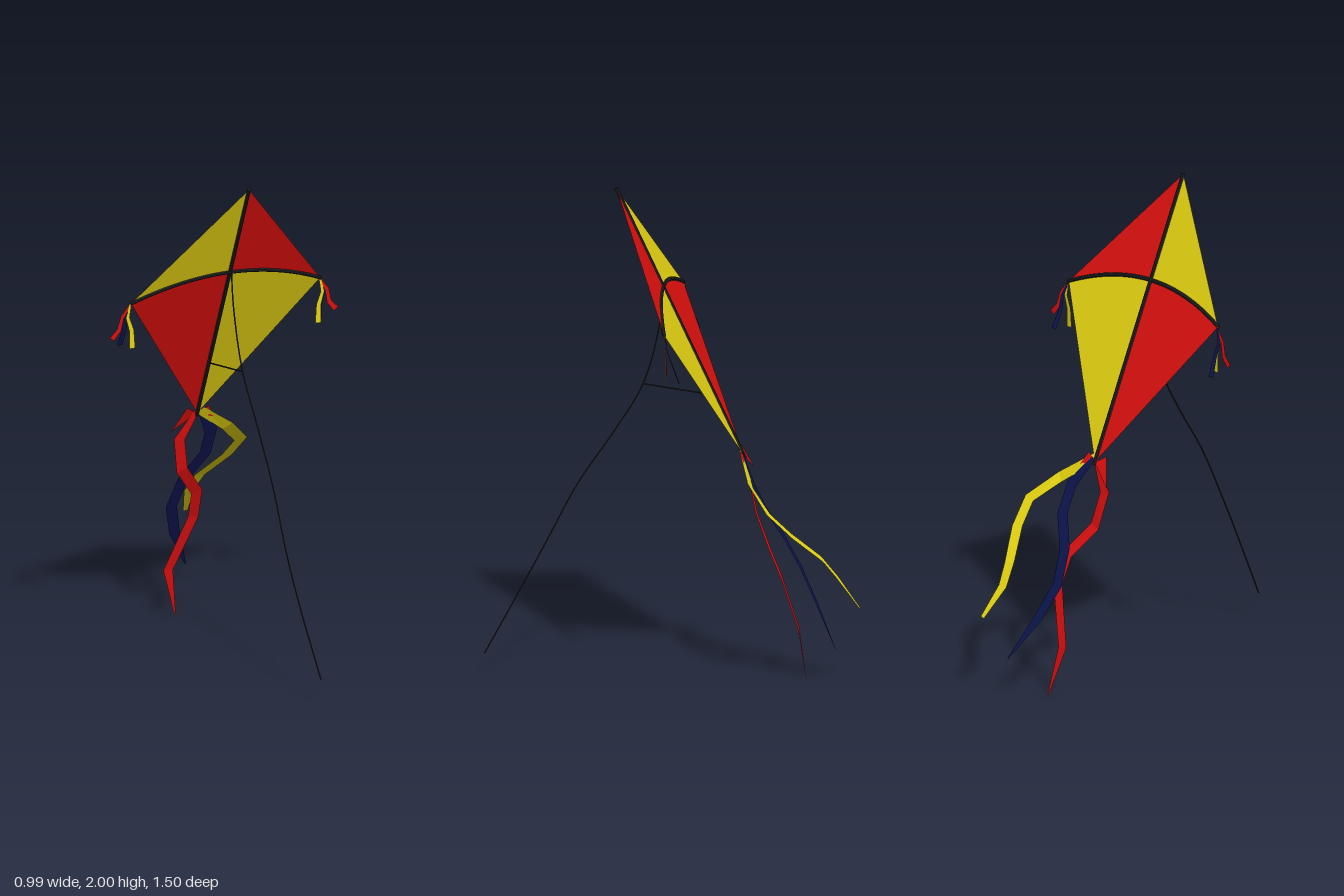
import * as THREE from 'three';

const mat = (color) => new THREE.MeshStandardMaterial({ color, side: THREE.DoubleSide, flatShading: true });
const RED = mat(0xe01010), YELLOW = mat(0xe6d412), NAVY = mat(0x0d1550), BLACK = mat(0x222222);
const V = (p) => new THREE.Vector3(...p);

function add(parent, name, geometry, material) {
  const mesh = new THREE.Mesh(geometry, material);
  mesh.name = name;
  parent.add(mesh);
  return mesh;
}

// Flat strip along a centre line; its width lies across the path, level front to back
function ribbon(points, widths) {
  const pts = points.map(V), pos = [], index = [];
  pts.forEach((p, i) => {
    const a = pts[Math.max(i - 1, 0)], b = pts[Math.min(i + 1, pts.length - 1)];
    const t = b.clone().sub(a).normalize();
    const h = Math.hypot(t.y, t.z);
    const side = new THREE.Vector3(h, -t.x * t.y / h, -t.x * t.z / h).multiplyScalar(widths[i] / 2);
    pos.push(...p.clone().sub(side).toArray(), ...p.clone().add(side).toArray());
    if (i) {
      const k = 2 * i;
      index.push(k - 2, k, k - 1, k - 1, k, k + 1);
    }
  });
  const g = new THREE.BufferGeometry();
  g.setAttribute('position', new THREE.Float32BufferAttribute(pos, 3));
  g.setIndex(index);
  g.computeVertexNormals();
  return g;
}

const flat = (corners) => new THREE.ShapeGeometry(new THREE.Shape(corners.map((c) => new THREE.Vector2(...c))));

export function createModel() {
  const kite = new THREE.Group();
  kite.name = 'kite';

  // Sail and frame are laid out flat, then leaned forward
  const sail = new THREE.Group();
  sail.name = 'sail';
  sail.position.y = 1.5;
  sail.rotation.x = Math.atan(0.468);
  kite.add(sail);

  // Four panels meeting along the bowed cross spar
  for (const s of [-1, 1]) {
    for (const [end, label] of [[0.55, 'upper'], [-0.645, 'lower']]) {
      const shape = new THREE.Shape();
      shape.moveTo(0, 0.11);
      shape.quadraticCurveTo(s * 0.205, 0.11, s * 0.41, 0.01);
      shape.lineTo(0, end);
      shape.closePath();
      const red = (s > 0) === (end > 0);
      add(sail, `${label}${s > 0 ? 'Left' : 'Right'}Panel`, new THREE.ShapeGeometry(shape, 16), red ? RED : YELLOW);
    }
  }

  // Frame
  const spine = add(sail, 'spine', new THREE.CylinderGeometry(0.008, 0.008, 1.21, 8), BLACK);
  spine.position.y = -0.053;
  const bow = new THREE.QuadraticBezierCurve3(V([-0.412, 0.01, 0]), V([0, 0.21, 0]), V([0.412, 0.01, 0]));
  add(sail, 'crossSpar', new THREE.TubeGeometry(bow, 24, 0.008, 8), BLACK);

  // Small bow knotted at the foot of the sail
  add(sail, 'footBowRight', flat([[0, -0.645], [-0.05, -0.61], [-0.098, -0.73]]), RED);
  add(sail, 'footBowLeft', flat([[0, -0.645], [0.045, -0.61], [0.075, -0.675]]), RED);

  // Tail ribbons
  add(kite, 'redTail', ribbon([
    [0, 0.93, -0.27], [-0.07, 0.81, -0.29], [-0.045, 0.67, -0.32], [0.045, 0.55, -0.38],
    [0.052, 0.43, -0.43], [-0.03, 0.2, -0.49], [0.015, 0, -0.525],
  ], [0.02, 0.048, 0.048, 0.048, 0.046, 0.042, 0.006]), RED);
  add(kite, 'navyTail', ribbon([
    [0.01, 0.93, -0.27], [0.08, 0.82, -0.32], [0.08, 0.71, -0.375], [0.01, 0.59, -0.435],
    [-0.012, 0.46, -0.5], [0.03, 0.33, -0.565], [0.115, 0.16, -0.65],
  ], [0.02, 0.052, 0.052, 0.05, 0.048, 0.044, 0.006]), NAVY);
  add(kite, 'yellowTail', ribbon([
    [0.01, 0.93, -0.265], [0.15, 0.83, -0.315], [0.242, 0.74, -0.395], [0.222, 0.65, -0.485],
    [0.155, 0.54, -0.6], [0.135, 0.46, -0.66], [0.16, 0.345, -0.75],
  ], [0.04, 0.05, 0.054, 0.05, 0.046, 0.042, 0.02]), YELLOW);

  // Tassels on both wing tips
  for (const s of [-1, 1]) {
    const tassel = new THREE.Group();
    tassel.name = s > 0 ? 'leftTassel' : 'rightTassel';
    kite.add(tassel);
    const strand = (name, pts, m) =>
      add(tassel, name, ribbon(pts.map(([x, y, z]) => [s * x, y, z]), [0.008, 0.016, 0.02, 0.024]), m);
    strand('redStrand', [[0.41, 1.505, 0], [0.443, 1.455, -0.005], [0.455, 1.4, -0.01], [0.485, 1.365, -0.012]], RED);
    strand('navyStrand', [[0.41, 1.505, 0], [0.43, 1.45, -0.01], [0.424, 1.39, -0.03], [0.432, 1.32, -0.058]], NAVY);
    strand('yellowStrand', [[0.41, 1.505, 0], [0.422, 1.45, 0], [0.405, 1.395, 0], [0.402, 1.32, 0]], YELLOW);
  }

  // Flying line and bridle
  const line = new THREE.CatmullRomCurve3([
    [0.005, 1.6, 0.05], [0.01, 1.45, 0.06], [0.02, 1.205, 0.125], [0.033, 1.01, 0.24], [0.038, 0.8, 0.38],
    [0.042, 0.55, 0.51], [0.055, 0.36, 0.61], [0.083, 0.1, 0.75],
  ].map(V));
  add(kite, 'flyingLine', new THREE.TubeGeometry(line, 48, 0.003, 6), BLACK);
  const bridle = new THREE.LineCurve3(V([0.02, 1.205, 0.125]), V([0, 1.16, -0.158]));
  add(kite, 'bridle', new THREE.TubeGeometry(bridle, 1, 0.003, 6), BLACK);

  return kite;
}
